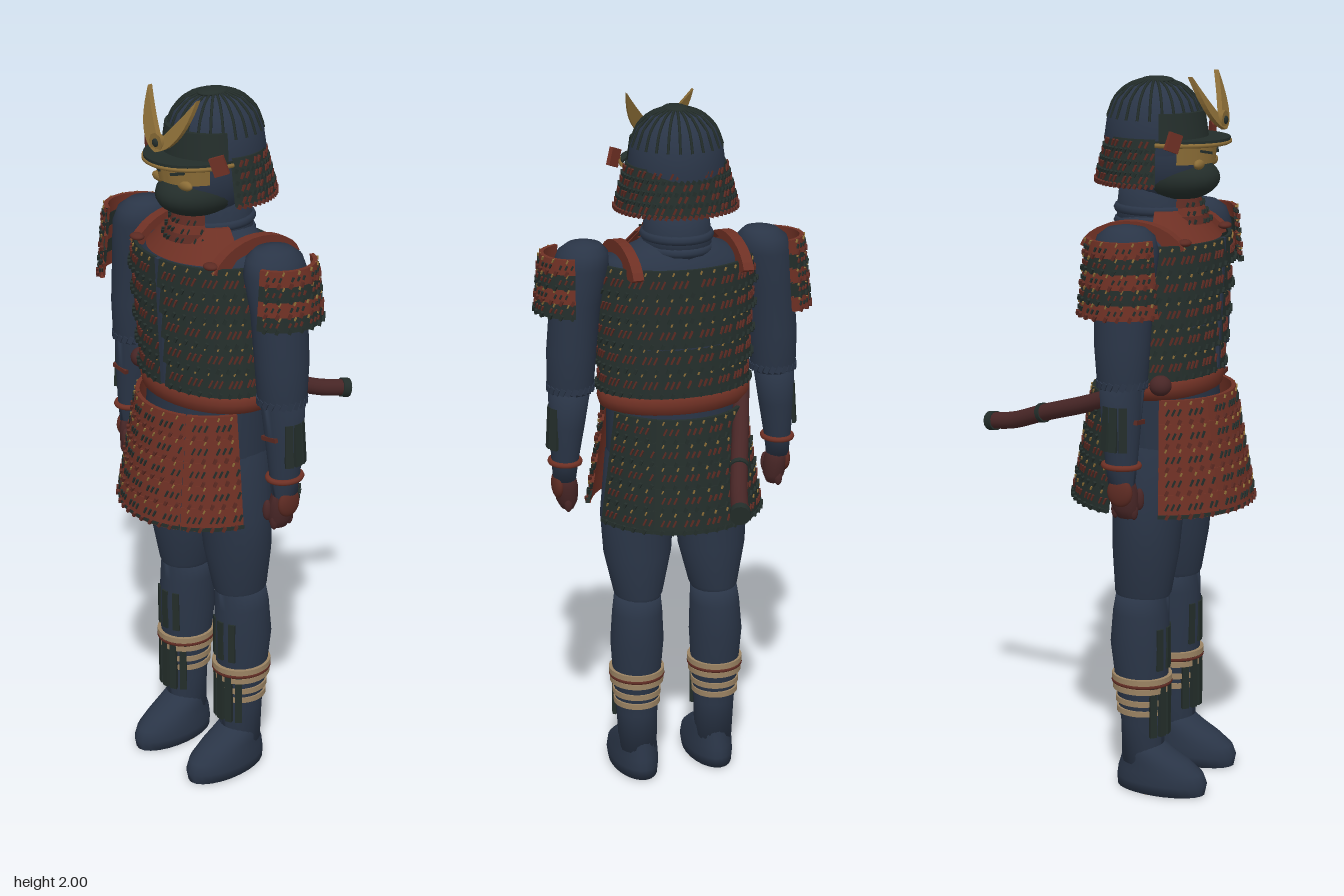
import * as THREE from 'three';
import { mergeGeometries, toCreasedNormals } from 'three/addons/utils/BufferGeometryUtils.js';

const CZ = 0.145; // body axis
const mat = (name, color) => {
  const m = new THREE.MeshStandardMaterial({ color, side: THREE.DoubleSide });
  m.name = name;
  return m;
};
const V = (x, y, z) => new THREE.Vector3(x, y, z);

// smooth skin through elliptical sections [y, cx, cz, rx, rz], listed bottom to top
function loft(sections, seg = 24) {
  const pos = [], idx = [], n = sections.length;
  for (const [y, cx, cz, rx, rz] of sections)
    for (let i = 0; i < seg; i++) {
      const a = (i / seg) * Math.PI * 2;
      pos.push(cx + rx * Math.sin(a), y, cz + rz * Math.cos(a));
    }
  for (let j = 0; j < n - 1; j++)
    for (let i = 0; i < seg; i++) {
      const a = j * seg + i, b = j * seg + ((i + 1) % seg);
      idx.push(a, b, a + seg, b, b + seg, a + seg);
    }
  for (let i = 1; i < seg - 1; i++) {
    const t = (n - 1) * seg;
    idx.push(0, i + 1, i, t, t + i, t + i + 1);
  }
  const g = new THREE.BufferGeometry();
  g.setAttribute('position', new THREE.Float32BufferAttribute(pos, 3));
  g.setIndex(idx);
  g.computeVertexNormals();
  return g;
}

// thick curved plate: radius rb at y0, rt at y1, depth scaled by k, spanning angles a0..a1 (0 = front)
function plate(rb, rt, y0, y1, k, a0 = 0, a1 = Math.PI * 2, cx = 0, cz = CZ, t = 0.012) {
  const p = [[rb, y0], [rt, y1], [rt - t, y1], [rb - t, y0], [rb, y0]].map(q => new THREE.Vector2(...q));
  const seg = Math.max(6, Math.round((a1 - a0) * 8));
  const g = toCreasedNormals(new THREE.LatheGeometry(p, seg, a0, a1 - a0), 0.6);
  return g.scale(1, 1, k).translate(cx, 0, cz);
}

// row of slanted cords lying on an elliptical plate
function cords(r, y, k, a0, a1, w, h, skip = 0, cx = 0, cz = CZ, step = 0.016) {
  const out = [], n = Math.max(3, Math.round((a1 - a0) * r / step));
  for (let i = 0; i < n; i++) {
    if (skip && i % skip === 0) continue;
    const a = a0 + (a1 - a0) * (i + 0.5) / n;
    out.push(new THREE.BoxGeometry(w, h, 0.01).rotateZ(-0.45)
      .rotateY(Math.atan2(Math.sin(a), Math.cos(a) / k))
      .translate(cx + r * Math.sin(a), y, cz + r * k * Math.cos(a)));
  }
  return mergeGeometries(out);
}

export function createModel() {
  const g = new THREE.Group();
  const navy = mat('navy cloth', 0x2a3547), green = mat('dark green lacquer', 0x232d2a),
    red = mat('red lacquer', 0x6e3024), lace = mat('dark red lacing', 0x5c2a22),
    gold = mat('gold', 0x8a6c36), cream = mat('cream cord', 0x9a8262), wood = mat('scabbard brown', 0x482626);
  const add = (name, geo, m) => {
    const mesh = new THREE.Mesh(geo, m);
    mesh.name = name;
    g.add(mesh);
    return mesh;
  };
  const ball = (rx, ry, rz, x, y, z) => new THREE.SphereGeometry(1, 24, 16).scale(rx, ry, rz).translate(x, y, z);
  const hoop = (rx, rz, t, x, y, z) =>
    new THREE.TorusGeometry(1, t / rx, 8, 32).rotateX(Math.PI / 2).scale(rx, rx, rz).translate(x, y, z);
  const tube = (pts, r, n = 16, sides = 8) => new THREE.TubeGeometry(new THREE.CatmullRomCurve3(pts), n, r, sides);
  // one laced armour row
  const row = (name, m, rb, rt, y0, y1, k, a0, a1, cx, cz) => {
    add(name, plate(rb, rt, y0, y1, k, a0, a1, cx, cz), m);
    const h = y1 - y0, mid = (rb + rt) / 2 - 0.001;
    add(name + 'Lacing', cords(mid, y0 + h * 0.5, k, a0, a1, 0.005, h * 0.3, 4, cx, cz), m === red ? green : lace);
    add(name + 'Edge', cords(rb + 0.001, y0 + h * 0.1, k, a0, a1, 0.008, 0.014, 2, cx, cz), m === red ? lace : green);
    add(name + 'Studs', cords(rt, y1 - h * 0.12, k, a0, a1, 0.004, 0.01, 0, cx, cz, 0.04), gold);
  };

  // torso, neck and head
  add('torso', loft([[0.86, 0, CZ, 0.17, 0.14], [1.0, 0, CZ, 0.195, 0.165], [1.17, 0, CZ, 0.195, 0.14], [1.35, 0, CZ, 0.215, 0.16],
    [1.52, 0, CZ, 0.22, 0.165], [1.575, 0, 0.13, 0.2, 0.125], [1.605, 0, 0.12, 0.12, 0.1], [1.63, 0, 0.12, 0.08, 0.08]], 32), navy);
  add('neck', loft([[1.58, 0, 0.12, 0.1, 0.11], [1.63, 0, 0.115, 0.095, 0.105], [1.72, 0, 0.115, 0.085, 0.095]]), navy);
  for (const y of [1.6, 1.635]) add('neckFold', hoop(0.088, 0.098, 0.014, 0, y, 0.115), navy);
  add('head', ball(0.115, 0.14, 0.135, 0, 1.78, 0.135), navy);

  // helmet bowl with ribs and crown button
  const bowl = [[0.135, 1.79], [0.137, 1.83], [0.13, 1.88], [0.11, 1.93], [0.075, 1.963], [0.035, 1.978], [0.001, 1.98]];
  add('helmetBowl', new THREE.LatheGeometry(bowl.map(p => new THREE.Vector2(...p)), 40).scale(0.97, 1, 1).translate(0, 0, 0.115), navy);
  for (let i = 0; i < 24; i++) {
    const a = (i / 24) * Math.PI * 2;
    add('helmetRib', tube(bowl.slice(2, 6).map(([r, y]) => V(r * 0.97 * Math.sin(a), y, 0.115 + r * Math.cos(a))), 0.004, 8, 5), green);
  }
  add('crownButton', ball(0.034, 0.01, 0.046, 0, 1.978, 0.122), green);
  add('browPlate', plate(0.137, 0.126, 1.82, 1.9, 1.06, -1.15, 1.15, 0, 0.117), green);

  // visor with gold rim
  const brim = new THREE.Shape();
  brim.moveTo(-0.135, 0.17);
  brim.bezierCurveTo(-0.12, 0.375, 0.12, 0.375, 0.135, 0.17);
  brim.bezierCurveTo(0.1, 0.28, -0.1, 0.28, -0.135, 0.17);
  add('visor', new THREE.ExtrudeGeometry(brim, { depth: 0.008, bevelEnabled: false, curveSegments: 20 })
    .rotateX(Math.PI / 2).translate(0, 1.832, 0), green);
  add('visorRim', new THREE.TubeGeometry(new THREE.CubicBezierCurve3(V(-0.135, 1.82, 0.17), V(-0.12, 1.82, 0.372),
    V(0.12, 1.82, 0.372), V(0.135, 1.82, 0.17)), 28, 0.006, 6), gold);

  // face mask
  add('eyeBand', plate(0.108, 0.112, 1.765, 1.82, 1.28, -1.05, 1.05, 0, 0.145, 0.008), gold);
  add('faceMask', ball(0.1, 0.066, 0.13, 0, 1.722, 0.168), green);
  for (const s of [-1, 1]) {
    add('maskCheek', ball(0.028, 0.014, 0.012, s * 0.05, 1.765, 0.262), gold);
    add('eyeSlit', new THREE.BoxGeometry(0.04, 0.007, 0.008).rotateZ(s * 0.2).rotateY(s * 0.4).translate(s * 0.04, 1.797, 0.278), green);
  }
  for (let i = 0; i < 3; i++) {
    const y = 1.668 - i * 0.022, r = 0.078 + i * 0.008;
    add('throatGuard', plate(r, r - 0.006, y - 0.022, y, 1.25, -1, 1, 0, 0.155), i % 2 ? red : lace);
    add('throatLacing', cords(r, y - 0.014, 1.25, -1, 1, 0.004, 0.012, 3, 0, 0.155), green);
  }

  // neck guard hanging from the helmet
  for (let i = 0; i < 4; i++) {
    const y = 1.835 - i * 0.03, r = 0.138 + i * 0.008, a0 = 1.2, a1 = Math.PI * 2 - 1.2;
    add('neckGuardRow', plate(r + 0.008, r, y - 0.032, y, 0.96, a0, a1, 0, 0.12), green);
    add('neckGuardLacing', cords(r + 0.003, y - 0.014, 0.96, a0, a1, 0.006, 0.018, 3, 0, 0.12), lace);
    add('neckGuardEdge', cords(r + 0.008, y - 0.031, 0.96, a0, a1, 0.008, 0.012, 0, 0, 0.12), i === 3 ? lace : green);
  }

  // horned crest
  add('crestBoss', new THREE.CylinderGeometry(0.026, 0.026, 0.012, 8).rotateX(Math.PI / 2).translate(0, 1.88, 0.31), gold);
  add('crestCentre', ball(0.011, 0.011, 0.006, 0, 1.88, 0.317), green);
  const horn = new THREE.Shape();
  horn.moveTo(0, 1.855);
  horn.quadraticCurveTo(0.085, 1.875, 0.096, 2.0);
  horn.quadraticCurveTo(0.05, 1.935, 0.006, 1.89);
  for (const s of [-1, 1]) {
    const geo = new THREE.ExtrudeGeometry(horn, { depth: 0.014, bevelEnabled: false });
    const p = geo.attributes.position;
    for (let i = 0; i < p.count; i++)
      p.setXYZ(i, s * p.getX(i), p.getY(i), p.getZ(i) + 0.306 - (p.getY(i) - 1.855) * 0.42);
    geo.computeVertexNormals();
    add('crestHorn', geo, gold);
    // turned-back helmet wings
    add('helmetWing', new THREE.BoxGeometry(0.04, 0.05, 0.012).rotateZ(s * 0.35).rotateY(s * 0.6).translate(s * 0.143, 1.832, 0.225), red);
  }

  // cuirass in five laced rows, split at the front
  for (let i = 0; i < 5; i++) {
    const y = 1.565 - i * 0.073, r = 0.238 - i * 0.004;
    for (const [a0, a1] of [[0.04, Math.PI], [Math.PI, Math.PI * 2 - 0.04]])
      row('cuirassRow', green, r, r - 0.012, y - 0.075, y, 0.77 - i * 0.012, a0, a1);
  }
  add('cuirassSeam', new THREE.BoxGeometry(0.014, 0.36, 0.012).rotateX(0.04).translate(0, 1.385, 0.307), navy);

  // collar and flat shoulder straps
  add('collar', plate(0.185, 0.11, 1.56, 1.638, 0.9, -1.3, 1.3, 0, 0.13), red);
  const strap = new THREE.Shape();
  strap.moveTo(0.03, 1.55);
  strap.bezierCurveTo(0.0, 1.63, -0.2, 1.66, -0.27, 1.555);
  strap.lineTo(-0.25, 1.545);
  strap.lineTo(0.01, 1.54);
  for (const s of [-1, 1]) {
    add('shoulderStrap', new THREE.ExtrudeGeometry(strap, { depth: 0.03, bevelEnabled: false })
      .rotateY(Math.PI / 2).translate(s * 0.158 - 0.015, 0, 0), red);
    add('strapToggle', ball(0.022, 0.01, 0.018, s * 0.15, 1.57, 0.262), lace);
  }

  // waist sash
  add('sash', loft([[1.14, 0, CZ, 0.19, 0.135], [1.15, 0, CZ, 0.215, 0.152], [1.175, 0, CZ, 0.222, 0.156], [1.195, 0, CZ, 0.215, 0.152],
    [1.205, 0, CZ, 0.19, 0.135]], 36), red);
  add('sashKnot', ball(0.03, 0.028, 0.03, -0.2, 1.19, 0.215), wood);

  // skirt panels: red in front, dark green behind
  const panels = [[-0.53, 0.53, red], [0.55, 1.25, red], [-1.25, -0.55, red], [1.85, 2.57, green], [2.58, 3.7, green], [3.71, 4.43, green]];
  for (let i = 0; i < 5; i++)
    for (const [a0, a1, m] of panels) {
      const y = 1.145 - i * 0.063, r = 0.201 + i * 0.01;
      row('skirtRow', m, r + 0.009, r, y - 0.064, y, 0.98 + i * 0.008, a0, a1);
    }
  for (const [a0, a1] of panels) add('skirtHem', plate(0.253, 0.252, 0.83, 0.84, 1.0, a0, a1), green);

  for (const s of [-1, 1]) {
    const x = v => s * v;
    // leg and shoe
    add('thigh', loft([[0.54, x(0.118), 0.13, 0.055, 0.06], [0.58, x(0.115), 0.132, 0.07, 0.08], [0.7, x(0.113), 0.14, 0.098, 0.092],
      [0.82, x(0.112), CZ, 0.106, 0.098], [1.0, x(0.1), CZ, 0.1, 0.11], [1.1, x(0.09), CZ, 0.06, 0.07]]), navy);
    add('shin', loft([[0.08, x(0.118), 0.135, 0.055, 0.06], [0.2, x(0.12), 0.135, 0.06, 0.062], [0.3, x(0.121), 0.132, 0.068, 0.073],
      [0.43, x(0.121), 0.126, 0.077, 0.084], [0.52, x(0.119), 0.128, 0.072, 0.08], [0.575, x(0.117), 0.132, 0.066, 0.075]]), navy);
    add('shoe', loft([[0, x(0.117), 0.19, 0.064, 0.13], [0.03, x(0.117), 0.192, 0.068, 0.134], [0.06, x(0.117), 0.188, 0.066, 0.126],
      [0.09, x(0.117), 0.172, 0.062, 0.1], [0.115, x(0.118), 0.15, 0.058, 0.075], [0.14, x(0.118), 0.137, 0.05, 0.055]]), navy);
    add('shoeCord', new THREE.BoxGeometry(0.124, 0.008, 0.014).translate(x(0.117), 0.003, 0.17), cream);
    for (const a of [-0.5, 0, 0.5])
      add('shinSplint', new THREE.BoxGeometry(0.02, 0.12, 0.01).rotateY(a)
        .translate(x(0.121) + 0.073 * Math.sin(a), 0.425, 0.127 + 0.081 * Math.cos(a)), green);
    for (const a of [-0.8, -0.4, 0, 0.4, 0.8])
      add('lowerShinSplint', new THREE.BoxGeometry(0.02, 0.17, 0.012).rotateY(a)
        .translate(x(0.121) + 0.068 * Math.sin(a), 0.255, 0.132 + 0.077 * Math.cos(a)), green);
    [0.334, 0.306, 0.268, 0.238].forEach((y, i) => {
      const r = 0.072 - i * 0.0025 + (i < 2 ? 0.005 : 0);
      add('shinTie', plate(r + 0.003, r + 0.003, y - 0.008, y + 0.008, 1.06, 0, Math.PI * 2, x(0.121), 0.132), cream);
    });
    add('shinTieRed', hoop(0.076, 0.081, 0.005, x(0.121), 0.32, 0.132), lace);

    // arm and sleeve
    add('upperArm', loft([[1.2, x(0.302), 0.148, 0.058, 0.06], [1.22, x(0.302), 0.148, 0.065, 0.068], [1.32, x(0.298), 0.146, 0.069, 0.076],
      [1.46, x(0.285), 0.145, 0.07, 0.08], [1.56, x(0.268), 0.143, 0.077, 0.09], [1.6, x(0.262), 0.142, 0.068, 0.078],
      [1.62, x(0.258), 0.141, 0.046, 0.052], [1.628, x(0.256), 0.14, 0.01, 0.012]]), navy);
    add('sleeveHem', cords(0.062, 1.215, 1.04, 0, Math.PI * 2, 0.014, 0.02, 0, x(0.302), 0.148), navy);
    add('forearm', loft([[0.94, x(0.322), 0.155, 0.032, 0.036], [1.0, x(0.32), 0.153, 0.038, 0.044], [1.1, x(0.314), 0.15, 0.05, 0.053],
      [1.22, x(0.304), 0.148, 0.06, 0.062]]), navy);
    for (const a of [1.1, 1.6, 2.1])
      add('forearmSplint', new THREE.BoxGeometry(0.022, 0.12, 0.01).rotateX(-0.06).rotateY(s * a)
        .translate(x(0.315 + 0.049 * Math.sin(a)), 1.1, 0.15 + 0.052 * Math.cos(a)), green);
    add('forearmTie', new THREE.BoxGeometry(0.055, 0.012, 0.012).rotateZ(s * 0.15).translate(x(0.312), 1.115, 0.2), lace);
    add('wristBand', hoop(0.041, 0.047, 0.008, x(0.32), 0.995, 0.153), red);

    // hand with guard
    add('hand', loft([[0.85, x(0.312), 0.165, 0.018, 0.024], [0.875, x(0.314), 0.163, 0.03, 0.037], [0.92, x(0.318), 0.158, 0.034, 0.04],
      [0.96, x(0.321), 0.155, 0.028, 0.034]], 16), wood);
    add('handGuard', ball(0.016, 0.04, 0.036, x(0.342), 0.925, 0.158), lace);
    add('thumb', ball(0.012, 0.03, 0.013, x(0.3), 0.9, 0.197), wood);
    for (let i = 0; i < 4; i++) add('finger', ball(0.012, 0.026, 0.011, x(0.318), 0.872, 0.135 + i * 0.018), wood);

    // shoulder guard, hanging longer on the right
    const a0 = s > 0 ? 0.3 : 0.3 + Math.PI, a1 = a0 + Math.PI - 0.6, rows = s > 0 ? 4 : 5;
    for (let i = 0; i < rows; i++) {
      const y = 1.6 - i * 0.04, r = 0.098 + i * 0.004;
      row('shoulderGuardRow', i % 2 ? green : red, r + 0.005, r, y - 0.041, y, 1, a0, a1, x(0.283), 0.143);
    }
  }

  // scabbard thrust through the sash, trailing behind
  const path = [V(-0.21, 1.18, 0.16), V(-0.14, 1.105, -0.02), V(-0.072, 1.045, -0.19), V(-0.03, 1.003, -0.3), V(-0.004, 0.987, -0.38)];
  add('scabbard', tube(path, 0.024, 24, 14), wood);
  const ring = (name, at, dir, r, h) => {
    const m = add(name, new THREE.CylinderGeometry(r, r, h, 14), green);
    m.position.copy(at);
    m.quaternion.setFromUnitVectors(V(0, 1, 0), dir.normalize());
  };
  ring('scabbardBand', path[2], V(0.055, -0.05, -0.15), 0.028, 0.014);
  ring('scabbardEnd', V(-0.004, 0.987, -0.378), V(0.03, -0.015, -0.08), 0.028, 0.024);
  return g;
}
